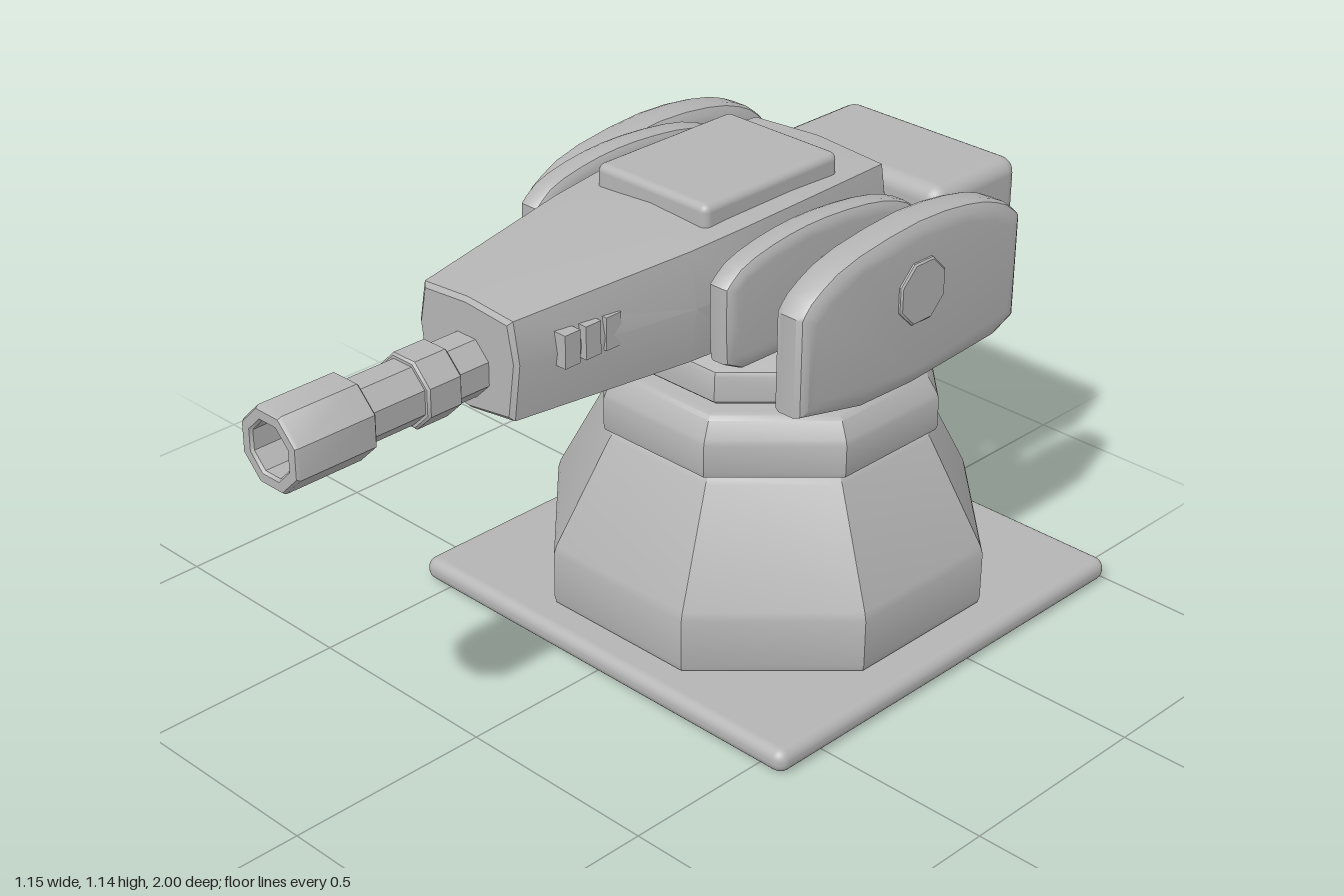
import * as THREE from 'three';
import { toCreasedNormals } from 'three/addons/utils/BufferGeometryUtils.js';
import { RoundedBoxGeometry } from 'three/addons/geometries/RoundedBoxGeometry.js';

const PIVOT_Z = -0.42;
const BARREL_Y = 0.915;

export function createModel() {
  const turret = new THREE.Group();
  turret.name = 'turret';
  const grey = new THREE.MeshStandardMaterial({ color: 0xb4b4b4 });
  grey.name = 'grey metal';

  const add = (name, geometry, x = 0, y = 0, z = 0) => {
    const mesh = new THREE.Mesh(geometry, grey);
    mesh.name = name;
    mesh.position.set(x, y, z);
    turret.add(mesh);
    return mesh;
  };

  // Box given by its limits, with rounded edges
  const block = (name, [x0, x1], [y0, y1], [z0, z1], radius) =>
    add(name, new RoundedBoxGeometry(x1 - x0, y1 - y0, z1 - z0, 3, radius),
      (x0 + x1) / 2, (y0 + y1) / 2, (z0 + z1) / 2);

  // Eight-sided turned part; profile is [flat-to-centre distance, height]
  const octagon = (profile) => {
    const k = 1 / Math.cos(Math.PI / 8);
    const points = profile.map(([r, y]) => new THREE.Vector2(r * k, y));
    return toCreasedNormals(new THREE.LatheGeometry(points, 8, Math.PI / 8), 0.6);
  };

  // Ground plate
  block('basePlate', [-0.575, 0.575], [0, 0.058], [-1, 0.145], 0.027);

  // Pedestal, rim and turntable
  add('pedestal', octagon([[0, 0.055], [0.475, 0.058], [0.486, 0.064], [0.49, 0.08], [0.49, 0.195],
    [0.484, 0.215], [0.362, 0.468], [0.352, 0.482], [0.335, 0.49], [0, 0.49]]), 0, 0, PIVOT_Z);
  add('pedestalRim', octagon([[0, 0.488], [0.362, 0.488], [0.372, 0.493], [0.375, 0.503], [0.375, 0.572],
    [0.371, 0.585], [0.35, 0.622], [0.342, 0.631], [0.328, 0.635], [0, 0.635]]), 0, 0, PIVOT_Z);
  add('turntableBearing', octagon([[0, 0.62], [0.24, 0.62], [0.24, 0.66], [0, 0.66]]), 0, 0, PIVOT_Z);
  add('turntable', octagon([[0, 0.645], [0.312, 0.645], [0.32, 0.652], [0.32, 0.712], [0.315, 0.722],
    [0.262, 0.75], [0.245, 0.756], [0, 0.756]]), 0, 0, PIVOT_Z);
  block('neck', [-0.19, 0.19], [0.74, 0.86], [-0.57, -0.26], 0.02);

  // Gun housing
  add('gunHousing', housingGeometry());
  block('topHatch', [-0.165, 0.162], [1.06, 1.145], [-0.45, -0.035], 0.018);

  // Rear counterweight with a raised panel
  block('counterweight', [-0.252, 0.252], [0.745, 1.0], [-0.978, -0.69], 0.038);
  block('counterweightPanel', [-0.14, 0.14], [0.83, 0.9], [-0.985, -0.97], 0.003);

  // Barrel, collar and hollow muzzle, turned to point forwards
  const forward = (name, profile) =>
    add(name, octagon(profile).rotateX(Math.PI / 2), 0, BARREL_Y, 0);
  forward('barrel', [[0, 0.45], [0.065, 0.45], [0.065, 0.82], [0, 0.82]]);
  forward('barrelCollar', [[0, 0.57], [0.071, 0.57], [0.076, 0.575], [0.076, 0.655], [0.071, 0.66], [0, 0.66]]);
  forward('muzzle', [[0, 0.8], [0.08, 0.8], [0.085, 0.805], [0.085, 0.992], [0.08, 1.0],
    [0.06, 1.0], [0.055, 0.994], [0.055, 0.88], [0, 0.88]]);

  // Side shields: curved outlines given as [z, y]
  const inner = plateGeometry(
    [[0.05, 0.86], [0.055, 0.94], [0.055, 1.035]],
    [[0.0, 1.075], [-0.12, 1.1], [-0.25, 1.105], [-0.4, 1.09], [-0.5, 1.06]],
    [[-0.55, 1.025], [-0.55, 0.86], [-0.5, 0.84], [-0.25, 0.83], [0.0, 0.835]], 0.065, 0.028);
  const outer = plateGeometry(
    [[-0.052, 0.735], [-0.052, 0.965]],
    [[-0.09, 1.005], [-0.2, 1.053], [-0.42, 1.078], [-0.6, 1.062], [-0.71, 1.025]],
    [[-0.768, 0.98], [-0.768, 0.73], [-0.7, 0.702], [-0.42, 0.685], [-0.25, 0.69]], 0.095, 0.04);
  const bolt = (r) => octagon([[0, -0.01], [r, -0.01], [r, 0.006], [r - 0.004, 0.01], [0, 0.01]])
    .rotateZ(-Math.PI / 2);

  for (const side of [1, -1]) {
    const label = side > 0 ? 'left' : 'right';
    add(label + 'InnerShield', inner, side * 0.283);
    add(label + 'OuterShield', outer, side * 0.384);
    const outerBolt = add(label + 'OuterBolt', bolt(0.072), side * 0.43, 0.915, PIVOT_Z);
    const innerBolt = add(label + 'InnerBolt', bolt(0.055), side * 0.312, 0.965, -0.25);
    outerBolt.scale.x = innerBolt.scale.x = 1;
    if (side < 0) outerBolt.rotation.y = innerBolt.rotation.y = Math.PI;

    // Three cooling vents on the flank
    for (const z of [0.372, 0.314, 0.257]) {
      add(label + 'Vent', new THREE.BoxGeometry(0.06, 0.075, 0.042), side * 0.157, 0.972, z);
    }
  }
  return turret;
}

// Bevelled plate standing in the zy plane, centred on x = 0
function plateGeometry(front, top, rest, thickness, bevel) {
  const v = ([z, y]) => new THREE.Vector2(z, y);
  const curve = new THREE.SplineCurve([front.at(-1), ...top, rest[0]].map(v));
  const outline = [...front.slice(0, -1).map(v), ...curve.getPoints(14), ...rest.slice(1).map(v)];
  const depth = thickness * 0.45;
  const geometry = new THREE.ExtrudeGeometry(new THREE.Shape(outline), {
    depth, bevelEnabled: true, bevelThickness: (thickness - depth) / 2,
    bevelSize: bevel, bevelOffset: -bevel, bevelSegments: 3,
  });
  geometry.translate(0, 0, -depth / 2).rotateY(-Math.PI / 2);
  return toCreasedNormals(geometry, 0.6);
}

// Housing lofted through eight-cornered sections from front to back
function housingGeometry() {
  // z, half width at middle, half width at corners, corner top, ridge top, inset
  const sections = [
    [0.49, 0.147, 0.13, 1.052, 1.062, 0.008],
    [0.482, 0.149, 0.132, 1.054, 1.064, 0],
    [0.05, 0.222, 0.2, 1.085, 1.1, 0],
    [-0.1, 0.236, 0.213, 1.095, 1.108, 0],
    [-0.3, 0.232, 0.21, 1.097, 1.11, 0],
    [-0.565, 0.208, 0.188, 1.088, 1.1, 0],
    [-0.585, 0.208, 0.188, 1.088, 1.1, 0.018],
  ];
  const positions = [];
  const index = [];
  for (const [z, mid, corner, top, ridge, inset] of sections) {
    const m = mid - inset, c = corner - inset, t = top - inset, r = ridge - inset;
    const b = 0.83 + inset, keel = 0.812 + inset;
    const ring = [[m, 0.962], [c, t], [0, r], [-c, t], [-m, 0.962], [-c, b], [0, keel], [c, b]];
    for (const [x, y] of ring) positions.push(x, y, z);
  }
  const last = (sections.length - 1) * 8;
  for (let s = 0; s < last; s += 8) {
    for (let j = 0; j < 8; j++) {
      const k = (j + 1) % 8;
      index.push(s + j, s + 8 + j, s + k, s + k, s + 8 + j, s + 8 + k);
    }
  }
  for (let j = 1; j < 7; j++) {
    index.push(0, j, j + 1, last, last + j + 1, last + j);
  }
  const geometry = new THREE.BufferGeometry();
  geometry.setAttribute('position', new THREE.Float32BufferAttribute(positions, 3));
  geometry.setIndex(index);
  return toCreasedNormals(geometry, 0.35);
}
